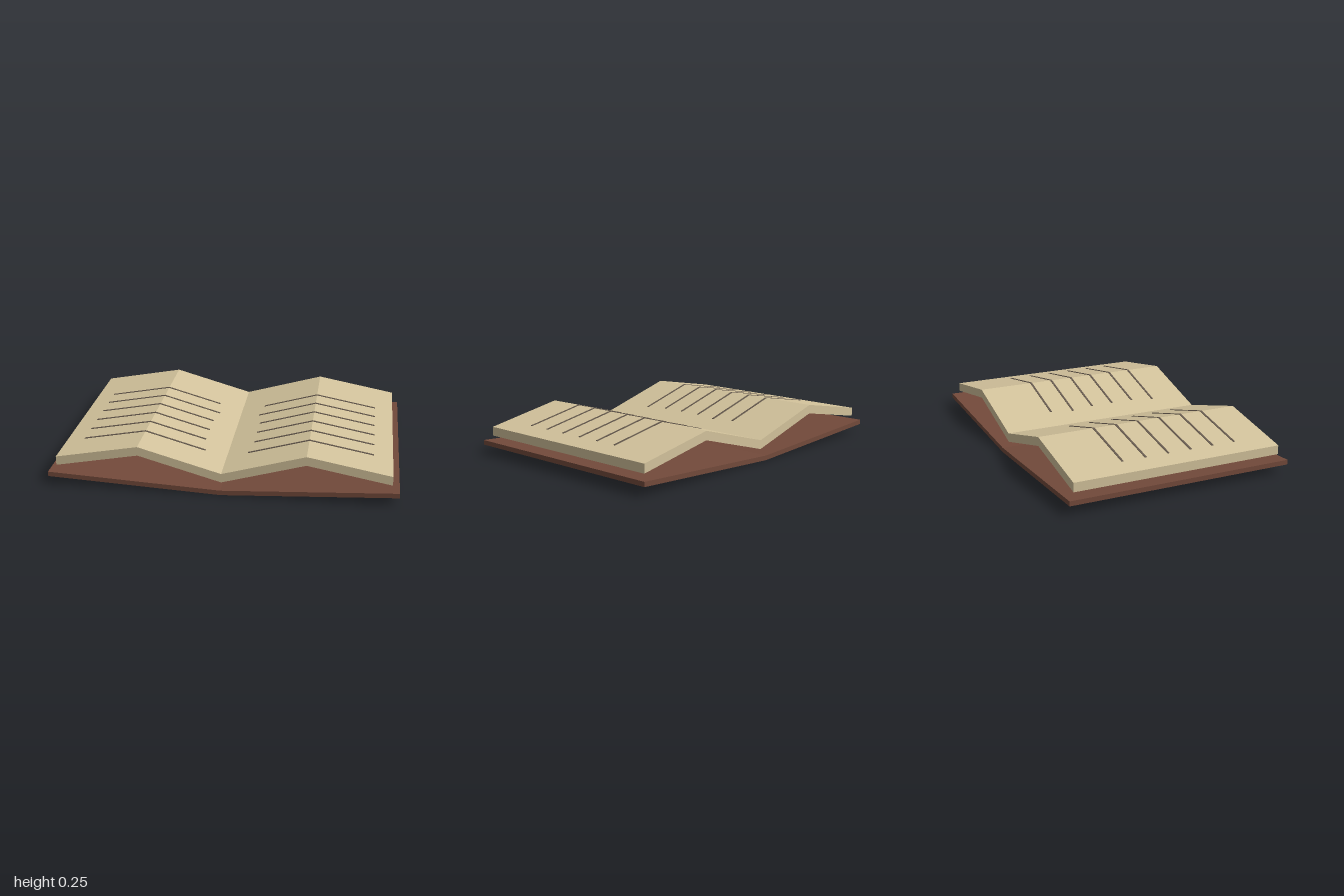
import * as THREE from 'three';

// Upper fold lines of the open book, from the gutter outwards
const PAGE_TOP = [[0, 0.113], [0.48, 0.25], [0.96, 0.16]];
const COVER_TOP = [[0, 0.028], [1, 0.08]];

// Height of the page surface at distance x from the gutter
function pageHeight(x) {
  const [a, b] = x < 0.48 ? [PAGE_TOP[0], PAGE_TOP[1]] : [PAGE_TOP[1], PAGE_TOP[2]];
  return a[1] + (b[1] - a[1]) * (x - a[0]) / (b[0] - a[0]);
}

// Folded sheet: a polyline given a vertical thickness and extruded along z
function sheet(name, line, thickness, depth, z, material) {
  const outline = [
    ...line.map(([x, y]) => new THREE.Vector2(x, y - thickness)),
    ...[...line].reverse().map(([x, y]) => new THREE.Vector2(x, y)),
  ];
  const geometry = new THREE.ExtrudeGeometry(new THREE.Shape(outline), { depth, bevelEnabled: false });
  geometry.translate(0, 0, z - depth / 2);
  const mesh = new THREE.Mesh(geometry, material);
  mesh.name = name;
  return mesh;
}

// Mirror a half profile across the gutter
const mirrored = (half) => [...half.slice(1).reverse().map(([x, y]) => [-x, y]), ...half];

export function createModel() {
  const leather = new THREE.MeshStandardMaterial({ color: 0x734a3b });
  leather.name = 'leather brown';
  const paper = new THREE.MeshStandardMaterial({ color: 0xd3c39c });
  paper.name = 'aged paper';
  const ink = new THREE.MeshStandardMaterial({ color: 0x665a4e });
  ink.name = 'faded ink';

  const book = new THREE.Group();
  book.name = 'openBook';
  book.add(sheet('cover', mirrored(COVER_TOP), 0.028, 1.34, 0, leather));
  book.add(sheet('pages', mirrored(PAGE_TOP), 0.053, 1.26, 0, paper));

  // Ruled lines following the curve of each page
  const lines = new THREE.Group();
  lines.name = 'writingLines';
  for (let i = 0; i < 6; i++) {
    const start = i % 4 === 1 ? 0.125 : 0.145;
    const z = -0.295 + i * 0.14;
    for (const side of [-1, 1]) {
      const path = [start, 0.48, 0.85].map((x) => [side * x, pageHeight(x) + 0.003]);
      if (side < 0) path.reverse();
      lines.add(sheet(side < 0 ? 'rightPageLine' : 'leftPageLine', path, 0.006, 0.012, z, ink));
    }
  }
  book.add(lines);
  return book;
}
